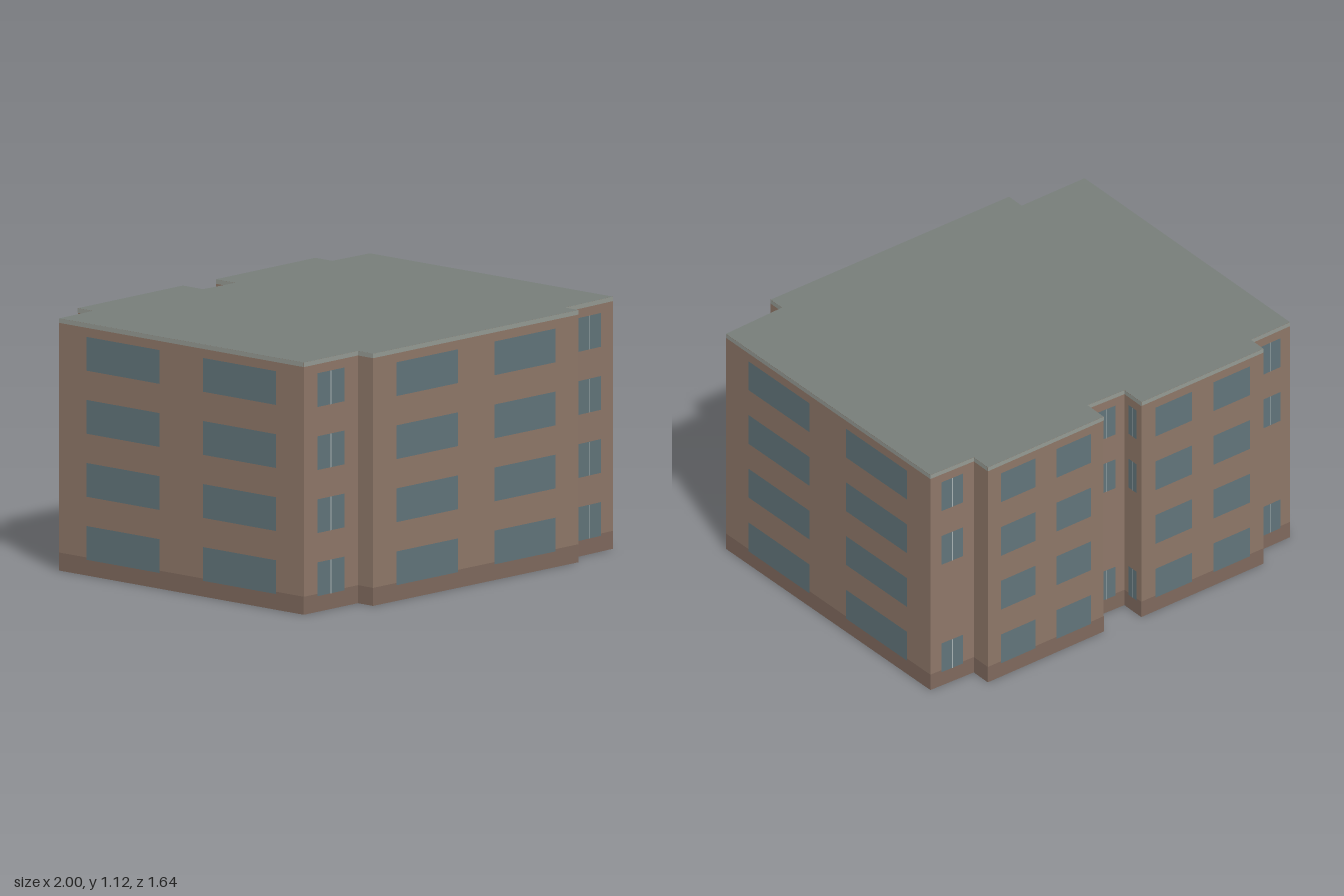
import * as THREE from 'three';

const HEIGHT = 1.12, PLINTH = 0.08, TRIM = 0.02;
const WINDOW_H = 0.15, FIRST_SILL = 0.07, STOREY = 0.28;

const mat = (color, side = THREE.FrontSide) => new THREE.MeshStandardMaterial({ color, side });

// Window layouts: [start, end] as fractions of the wall's length
const WIDE = { spans: [[0.113, 0.411], [0.59, 0.887]], rows: [0, 1, 2, 3] };
const PAIR = { spans: [[0.245, 0.745]], rows: [0, 1, 2, 3], mullion: true };
const BACK_PAIR = { ...PAIR, rows: [0, 2, 3] };
const NONE = { spans: [], rows: [] };

// Footprint corners [x, z], each with the layout of the wall that starts there
const FOOTPRINT = [
  [-0.99, 0.735, PAIR],
  [-0.64, 0.73, NONE],
  [-0.64, 0.82, WIDE],
  [0.68, 0.81, NONE],
  [0.68, 0.73, PAIR],
  [1.0, 0.715, WIDE],
  [0.98, -0.715, BACK_PAIR],
  [0.745, -0.72, NONE],
  [0.745, -0.82, WIDE],
  [0.1, -0.81, BACK_PAIR],
  [0.1, -0.695, BACK_PAIR],
  [-0.1, -0.70, BACK_PAIR],
  [-0.1, -0.82, WIDE],
  [-0.78, -0.81, NONE],
  [-0.78, -0.72, BACK_PAIR],
  [-1.0, -0.715, WIDE],
];

export function createModel() {
  const building = new THREE.Group();
  building.name = 'apartmentBlock';
  const materials = {
    wall: mat(0x8f7869, THREE.DoubleSide),
    plinth: mat(0x806a5e),
    trim: mat(0x969b94),
    glass: mat(0x62757b),
    mullion: mat(0xa9b4b5),
    roof: mat(0x777e7a, THREE.DoubleSide),
  };

  FOOTPRINT.forEach(([x, z, layout], i) => {
    const [x2, z2] = FOOTPRINT[(i + 1) % FOOTPRINT.length];
    const length = Math.hypot(x2 - x, z2 - z);

    // Each facade has x along the wall, y up and z outwards
    const facade = new THREE.Group();
    facade.name = `facade${i + 1}`;
    facade.position.set(x, 0, z);
    facade.rotation.y = Math.atan2(z - z2, x2 - x);
    building.add(facade);

    const panel = (name, x0, x1, y0, y1, depth) => {
      const mesh = new THREE.Mesh(new THREE.PlaneGeometry(x1 - x0, y1 - y0), materials[name]);
      mesh.name = name;
      mesh.position.set((x0 + x1) / 2, (y0 + y1) / 2, depth);
      facade.add(mesh);
    };

    panel('wall', 0, length, 0, HEIGHT, 0);
    panel('plinth', 0, length, 0, PLINTH, 0.001);
    panel('trim', 0, length, HEIGHT - TRIM, HEIGHT, 0.001);

    // Windows, storey by storey
    for (const row of layout.rows) {
      const sill = FIRST_SILL + row * STOREY;
      for (const [a, b] of layout.spans) {
        panel('glass', a * length, b * length, sill, sill + WINDOW_H, 0.002);
        if (layout.mullion) {
          const mid = (a + b) / 2 * length, half = Math.min(0.003, length * 0.01);
          panel('mullion', mid - half, mid + half, sill, sill + WINDOW_H, 0.003);
        }
      }
    }
  });

  // Flat roof over the footprint; the block is open underneath
  const outline = new THREE.Shape(FOOTPRINT.map(([x, z]) => new THREE.Vector2(x, -z)));
  const roof = new THREE.Mesh(new THREE.ShapeGeometry(outline).rotateX(-Math.PI / 2), materials.roof);
  roof.name = 'roof';
  roof.position.y = HEIGHT;
  building.add(roof);

  return building;
}
